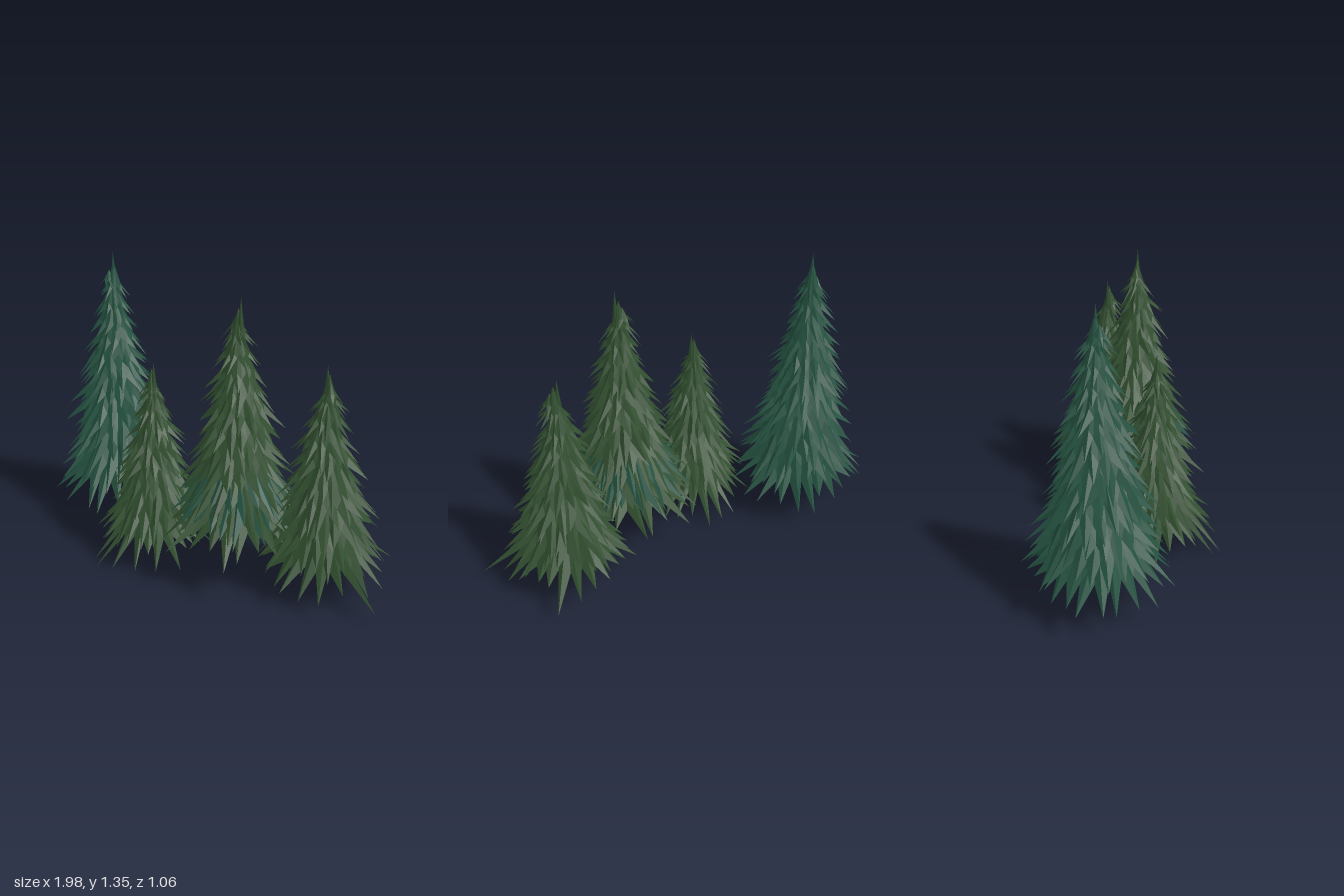
import * as THREE from 'three';

// Small seeded generator so every tree is ragged but repeatable
function makeRandom(seed) {
  let s = seed;
  return () => {
    s = (s * 16807) % 2147483647;
    return s / 2147483647;
  };
}

const polar = (angle, r, y) => new THREE.Vector3(Math.cos(angle) * r, y, Math.sin(angle) * r);

// Closed cone whose rim carries thin, drooping, ridged blades
function skirtGeometry({ radius, height, spikes, length, sag, rand, turn = 0, reach = [] }) {
  const wedge = (Math.PI * 2) / spikes;
  const notches = [], ridges = [], tips = [];
  for (let i = 0; i < spikes; i++) {
    const a = turn + i * wedge;
    const mid = a + wedge * (0.5 + (rand() - 0.5) * 0.3);
    const extra = length * (0.35 + 0.65 * rand());
    notches.push(polar(a, radius * (0.92 + 0.1 * rand()), 0.012 * rand()));
    ridges.push(polar(mid, radius * 0.87, height * 0.18));
    tips.push(polar(mid + (rand() - 0.5) * wedge * 0.7, radius + extra, -extra * (0.7 + 0.45 * rand())));
  }
  // A few extra-long blades at chosen angles
  for (const [angle, r, y] of reach) {
    const k = Math.floor((((angle - turn) / (Math.PI * 2) + 2) % 1) * spikes);
    tips[k].copy(polar(angle, r, y));
  }
  const apex = new THREE.Vector3(0, height, 0);
  const base = new THREE.Vector3(0, -sag, 0);
  const points = [];
  for (let i = 0; i < spikes; i++) {
    const p = notches[i], q = notches[(i + 1) % spikes], m = ridges[i], tip = tips[i];
    points.push(apex, m, p, apex, q, m); // cone
    points.push(m, tip, p, m, q, tip); // blade top
    points.push(p, tip, q, base, p, q); // undersides
  }
  const geometry = new THREE.BufferGeometry().setFromPoints(points);
  geometry.computeVertexNormals();
  return geometry;
}

function createTree(name, spec, needles, accent) {
  const { low, high, top, radius, tiers, seed, reach, cap, accentTiers = [] } = spec;
  const rand = makeRandom(seed);
  const tree = new THREE.Group();
  tree.name = name;
  const step = (high - low) / (tiers - 1);

  // Branch skirts, widest at the bottom
  for (let i = 0; i < tiers; i++) {
    const t = i / (tiers - 1);
    const r = radius * Math.pow(1 - t, 0.9) + 0.038;
    const options = {
      radius: r,
      height: step * 1.15 + r * 0.95,
      spikes: Math.round(24 - 12 * t),
      length: 0.055 + 0.03 * (1 - t) + 0.16 * r,
      sag: 0.1 * r,
      rand,
      turn: rand() * 6.28,
      reach: i === 0 ? reach.map(([a, d, y]) => [a, d, y - low]) : []
    };
    const skirt = new THREE.Mesh(skirtGeometry(options), needles);
    skirt.name = 'branchSkirt' + (i + 1);
    skirt.position.set((rand() - 0.5) * 0.014, low + step * i, (rand() - 0.5) * 0.014);
    tree.add(skirt);

    // Bluish undergrowth mixed into some lower tiers
    if (accentTiers.includes(i)) {
      const under = new THREE.Mesh(
        skirtGeometry({ ...options, turn: options.turn + 0.14, reach: [] }), accent);
      under.name = 'blueBranchSkirt' + (i + 1);
      under.position.copy(skirt.position);
      tree.add(under);
    }
  }

  // Drooping cap, set a little to one side of the trunk line
  const [capX, capTop, capZ] = cap;
  const capMesh = new THREE.Mesh(
    skirtGeometry({ radius: 0.026, height: 0.055, spikes: 8, length: 0.05, sag: 0.01, rand }), needles);
  capMesh.name = 'cap';
  capMesh.position.set(capX, capTop - 0.055, capZ);
  tree.add(capMesh);

  // Slim pointed leader at the top
  const leaderHeight = top - high - 0.02;
  const leader = new THREE.Mesh(
    skirtGeometry({ radius: 0.016, height: leaderHeight, spikes: 6, length: 0.012, sag: 0.01, rand }), needles);
  leader.name = 'leader';
  leader.position.set(spec.lean, top - leaderHeight, 0);
  tree.add(leader);

  tree.position.set(spec.x, 0, spec.z);
  return tree;
}

export function createModel() {
  const blueGreen = new THREE.MeshStandardMaterial({ color: 0x23503f, flatShading: true });
  blueGreen.name = 'blueGreenNeedles';
  const forestGreen = new THREE.MeshStandardMaterial({ color: 0x304d2e, flatShading: true });
  forestGreen.name = 'forestGreenNeedles';

  const model = new THREE.Group();
  model.name = 'coniferGrove';
  const H = Math.PI / 2;

  model.add(createTree('tallBlueTree', {
    x: -0.645, z: 0.055, lean: 0, low: 0.225, high: 1.17, top: 1.35, radius: 0.19, tiers: 12, seed: 1171,
    cap: [-0.012, 1.265, 0.018],
    reach: [[Math.PI, 0.355, 0.16], [H, 0.34, 0.12], [-1.2, 0.35, 0.15]]
  }, blueGreen, blueGreen));

  model.add(createTree('smallTree', {
    x: -0.13, z: 0.2, lean: 0.01, low: 0.145, high: 0.79, top: 0.95, radius: 0.15, tiers: 9, seed: 2903,
    cap: [-0.012, 0.88, 0.005],
    reach: [[H + 0.1, 0.32, 0.005], [Math.PI - 0.2, 0.29, 0.02], [-H, 0.3, 0.02], [0.2, 0.28, 0.03]]
  }, forestGreen, blueGreen));

  model.add(createTree('tallGreenTree', {
    x: 0.265, z: 0.03, lean: 0.015, low: 0.29, high: 1.12, top: 1.3, radius: 0.19, tiers: 11, seed: 4451,
    cap: [-0.015, 1.22, -0.002],
    accentTiers: [1, 2],
    reach: [[-1.6, 0.36, 0.22], [1.7, 0.37, 0.2]]
  }, forestGreen, blueGreen));

  model.add(createTree('mediumTree', {
    x: 0.6, z: -0.185, lean: -0.01, low: 0.175, high: 0.87, top: 1.04, radius: 0.17, tiers: 9, seed: 7793,
    cap: [0.02, 0.97, 0.012],
    reach: [[0.16, 0.39, 0.05], [-1.25, 0.365, 0.07], [1.4, 0.31, 0.09]]
  }, forestGreen, blueGreen));

  return model;
}
